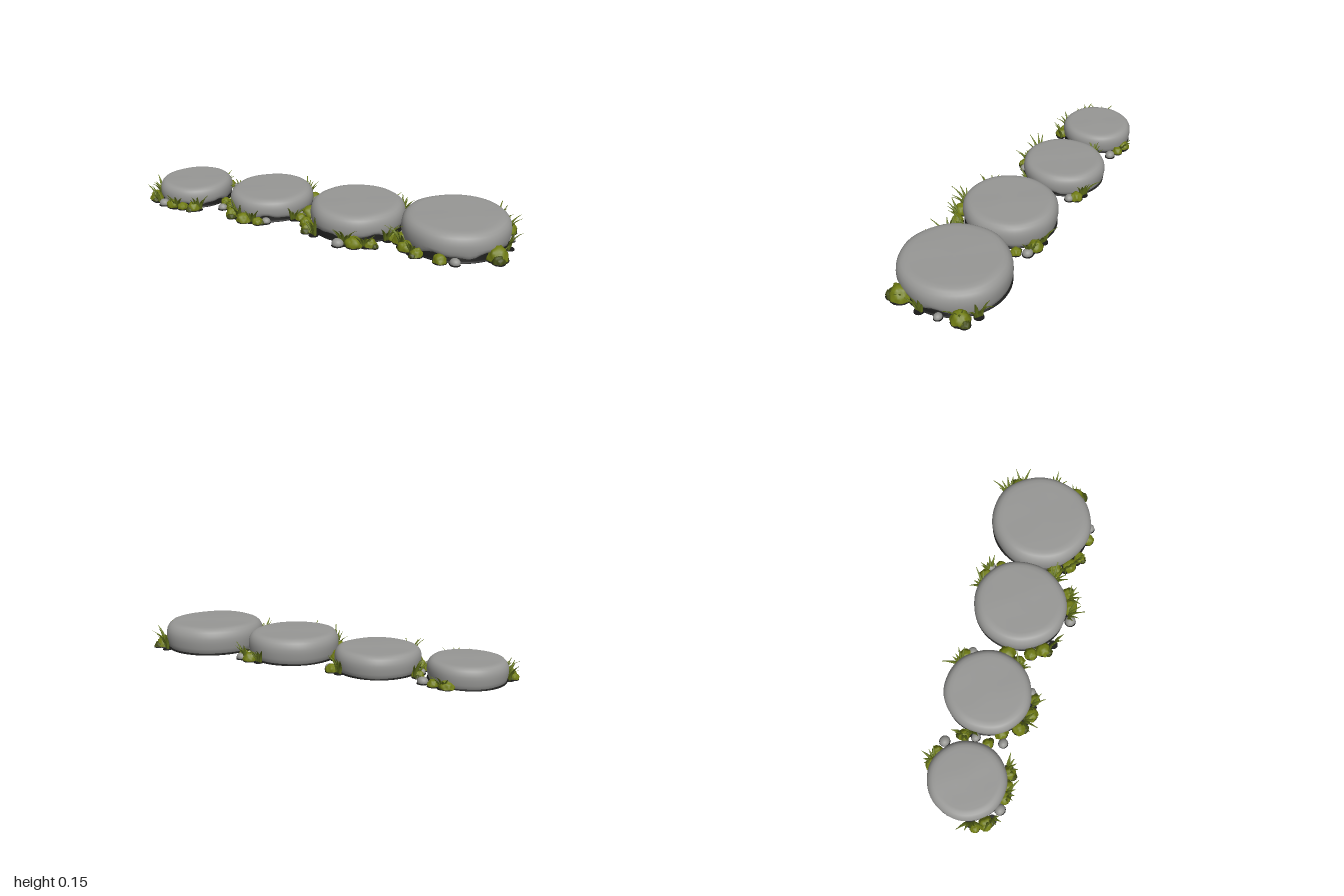
import * as THREE from 'three';
import { mergeVertices, mergeGeometries } from 'three/addons/utils/BufferGeometryUtils.js';

const mat = (name, color, side = THREE.FrontSide) =>
  Object.assign(new THREE.MeshStandardMaterial({ color, side }), { name });

let seed = 7;
const rand = () => {
  seed = (seed * 16807) % 2147483647;
  return seed / 2147483647;
};

// Stepping stones: x, z, radius x, radius z, height
const STONES = [
  [-0.775, 0.15, 0.195, 0.2, 0.112],
  [-0.325, 0.05, 0.219, 0.228, 0.119],
  [0.18, 0, 0.24, 0.25, 0.138],
  [0.68, -0.1, 0.266, 0.277, 0.147],
];

// Moss clumps: x, z, radius
const MOSS = [
  [-0.77, -0.05, 0.033], [-0.7, -0.055, 0.028], [-0.96, 0.28, 0.026], [-0.92, 0.32, 0.034],
  [-0.77, 0.345, 0.036], [-0.71, 0.34, 0.028], [-0.65, 0.32, 0.034], [-0.57, 0.03, 0.03],
  [-0.56, 0.16, 0.028], [-0.18, -0.15, 0.033], [-0.48, 0.2, 0.033], [-0.42, 0.27, 0.037],
  [-0.33, 0.295, 0.036], [-0.25, 0.28, 0.028], [-0.08, 0.045, 0.042], [-0.09, 0.12, 0.028],
  [0.28, -0.25, 0.037], [0.37, -0.2, 0.028], [-0.03, 0.16, 0.034], [0.02, 0.21, 0.038],
  [0.3, 0.24, 0.04], [0.37, 0.2, 0.032], [0.43, 0.07, 0.032],
  [0.87, -0.315, 0.046], [0.935, 0, 0.054], [0.47, 0.08, 0.04], [0.53, 0.14, 0.038],
  [0.6, 0.17, 0.032], [0.72, 0.17, 0.034],
];

// Pebbles: x, z, radius
const PEBBLES = [
  [-0.64, -0.045, 0.028], [-0.83, 0.355, 0.028], [-0.555, 0.09, 0.024], [-0.525, 0.23, 0.025],
  [-0.15, -0.125, 0.026], [-0.22, 0.25, 0.024], [-0.11, 0.08, 0.022], [0.34, -0.25, 0.028],
  [0.23, 0.275, 0.03], [0.42, -0.08, 0.024], [0.92, -0.225, 0.022], [0.79, 0.155, 0.026],
];

// Grass tufts: x, z, blade height
const TUFTS = [
  [-0.75, -0.06, 0.09], [-0.95, 0.25, 0.11], [-0.89, 0.34, 0.09], [-0.75, 0.355, 0.09],
  [-0.63, 0.31, 0.1], [-0.57, 0.02, 0.09], [-0.23, -0.16, 0.11], [-0.54, 0.06, 0.08],
  [-0.38, 0.28, 0.12], [-0.29, 0.285, 0.1], [-0.12, 0.14, 0.09], [0.22, -0.25, 0.1],
  [0.32, -0.25, 0.11], [0.07, 0.245, 0.12], [0.25, 0.255, 0.12], [0.35, 0.22, 0.09],
  [0.41, 0.1, 0.11], [0.5, 0.13, 0.12], [0.57, 0.165, 0.08], [0.8, -0.36, 0.12],
  [0.87, -0.31, 0.11], [0.945, -0.13, 0.11], [0.94, 0.0, 0.07],
];

// Welds a geometry, applies a rule to every vertex and smooths it
function sculpt(geo, rule) {
  geo.deleteAttribute('uv');
  geo.deleteAttribute('normal');
  const g = mergeVertices(geo, 1e-4);
  const p = g.attributes.position;
  const v = new THREE.Vector3();
  for (let i = 0; i < p.count; i++) {
    rule(v.fromBufferAttribute(p, i));
    p.setXYZ(i, v.x, v.y, v.z);
  }
  g.computeVertexNormals();
  return g;
}

const lathe = (pts) => new THREE.LatheGeometry(pts.map(([x, y]) => new THREE.Vector2(x, y)), 56);

// How far the boulders are undercut in direction a: only at the front left
const undercut = (a) => THREE.MathUtils.smoothstep(Math.cos(a - 0.8), -0.2, 0.5);

// Rounded, flat-topped boulder with slight unevenness and a ragged lower rim
function stoneGeometry([, , rx, rz, h], k) {
  const profile = [[0, 0.04], [0.93, 0.04], [0.965, 0.1], [0.985, 0.25], [1, 0.45], [0.998, 0.6], [0.985, 0.73],
    [0.95, 0.85], [0.9, 0.93], [0.84, 0.968], [0.76, 0.98], [0.55, 0.983], [0.3, 0.99], [0, 0.995]];
  return sculpt(lathe(profile), (v) => {
    const a = Math.atan2(v.z, v.x);
    const r = Math.hypot(v.x, v.z);
    const s = 1 + r * (0.007 * Math.sin(3 * a + k) + 0.005 * Math.sin(7 * a + 2 * k));
    const rim = undercut(a) * (0.17 + 0.07 * Math.sin(6 * a + k) + 0.04 * Math.sin(13 * a));
    const lift = v.y > 0.9 ? 0.012 * Math.sin(4 * v.x + k) * Math.cos(5 * v.z - k)
      : r > 0.5 ? rim * Math.max(0, 1 - v.y / 0.45) : 0;
    v.set(v.x * s * rx, (v.y + lift) * h, v.z * s * rz);
  });
}

// Bed of earth set back under a boulder's rim
const soilGeometry = ([, , rx, rz]) =>
  sculpt(lathe([[0, 0], [0.985, 0], [0.98, 0.1], [0.955, 0.2], [0.945, 1], [0, 1]]), (v) => {
    const y = v.y * (0.006 + 0.034 * undercut(Math.atan2(v.z, v.x)));
    v.set(v.x * rx, y + 0.003, v.z * rz);
  });

// Thin patch of earth under a plant or pebble
const soilPatch = ([x, z, r]) => new THREE.CylinderGeometry(r, r * 1.04, 0.005, 14).translate(x, 0.0045, z);

// Rough moss mound, widest at the ground
function mound([x, z, r], height) {
  const k = rand() * 6;
  const stretch = 0.9 + rand() * 0.25;
  return sculpt(new THREE.IcosahedronGeometry(1, 5), (v) => {
    const n = Math.sin(5 * v.x + k) * Math.sin(5 * v.y + 2 * k) * Math.sin(5 * v.z - k)
      + 0.4 * Math.sin(13 * v.x - k) * Math.sin(13 * v.z + 11 * v.y);
    v.multiplyScalar(1 + 0.14 * n);
    v.set(x + v.x * r * stretch, Math.max(0.006, r * height * (0.15 + v.y)), z + v.z * r);
  });
}

// Smooth flattened pebble
const pebbleGeometry = ([x, z, r]) => sculpt(new THREE.IcosahedronGeometry(1, 3), (v) =>
  v.set(x + v.x * r, Math.max(0.006, r * 0.85 * (0.55 + v.y)), z + v.z * r * 0.92));

// Tapered blade bending outward along direction a
function blade(x, z, h, a, lean) {
  return sculpt(new THREE.CylinderGeometry(0.0015, 0.0065, 1, 5, 6), (v) => {
    const t = v.y + 0.5;
    const w = 1 + 1.1 * Math.sin(Math.PI * t);
    const out = lean * h * t * t + v.x * w * 0.6;
    const across = v.z * w;
    v.set(x + Math.cos(a) * out - Math.sin(a) * across, 0.005 + h * (t - 0.2 * lean * t * t),
      z + Math.sin(a) * out + Math.cos(a) * across);
  });
}

export function createModel() {
  const model = new THREE.Group();
  model.name = 'steppingStones';
  const stone = mat('stone grey', 0x989896);
  const pebble = mat('pebble grey', 0x949490);
  const soil = mat('dark soil', 0x1a1a19);
  const moss = mat('moss green', 0x717d14);
  const darkMoss = mat('dark moss green', 0x434c14);
  const grass = mat('grass green', 0x66761f, THREE.DoubleSide);

  const add = (name, geo, material) => {
    const m = new THREE.Mesh(geo, material);
    m.name = name;
    model.add(m);
    return m;
  };

  STONES.forEach((s, i) => {
    add('stone' + (i + 1), stoneGeometry(s, i * 1.7), stone).position.set(s[0], 0, s[1]);
    add('soilBed' + (i + 1), soilGeometry(s), soil).position.set(s[0], 0, s[1]);
  });

  // Bright mounds, each with a smaller dark one nestled beside it
  const shade = MOSS.map(([x, z, r], i) =>
    [x + r * 0.75 * Math.cos(i * 2.4), z + r * 0.75 * Math.sin(i * 2.4), r * 0.6]);
  add('mossClumps', mergeGeometries(MOSS.map((m) => mound(m, 1.15))), moss);
  add('darkMossClumps', mergeGeometries(shade.map((m) => mound(m, 1.1))), darkMoss);
  add('pebbles', mergeGeometries(PEBBLES.map(pebbleGeometry)), pebble);
  const tuftBeds = TUFTS.map(([x, z]) => [x, z, 0.024]);
  add('soilPatches', mergeGeometries([...MOSS, ...shade, ...PEBBLES, ...tuftBeds].map(soilPatch)), soil);

  // Each tuft fans its blades away from the nearest boulder
  const blades = [];
  for (const [x, z, h] of TUFTS) {
    const near = STONES.reduce((b, s) =>
      (Math.hypot(x - s[0], z - s[1]) - s[2] < Math.hypot(x - b[0], z - b[1]) - b[2] ? s : b));
    const out = Math.atan2(z - near[1], x - near[0]);
    for (let i = 0; i < 5; i++) {
      const side = (i - 2) * 0.008;
      blades.push(blade(x - Math.sin(out) * side, z + Math.cos(out) * side,
        h * (0.6 + 0.45 * rand()), out + (i - 2) * 0.5, 0.25 + 0.5 * rand()));
    }
  }
  add('grassBlades', mergeGeometries(blades), grass);
  return model;
}
